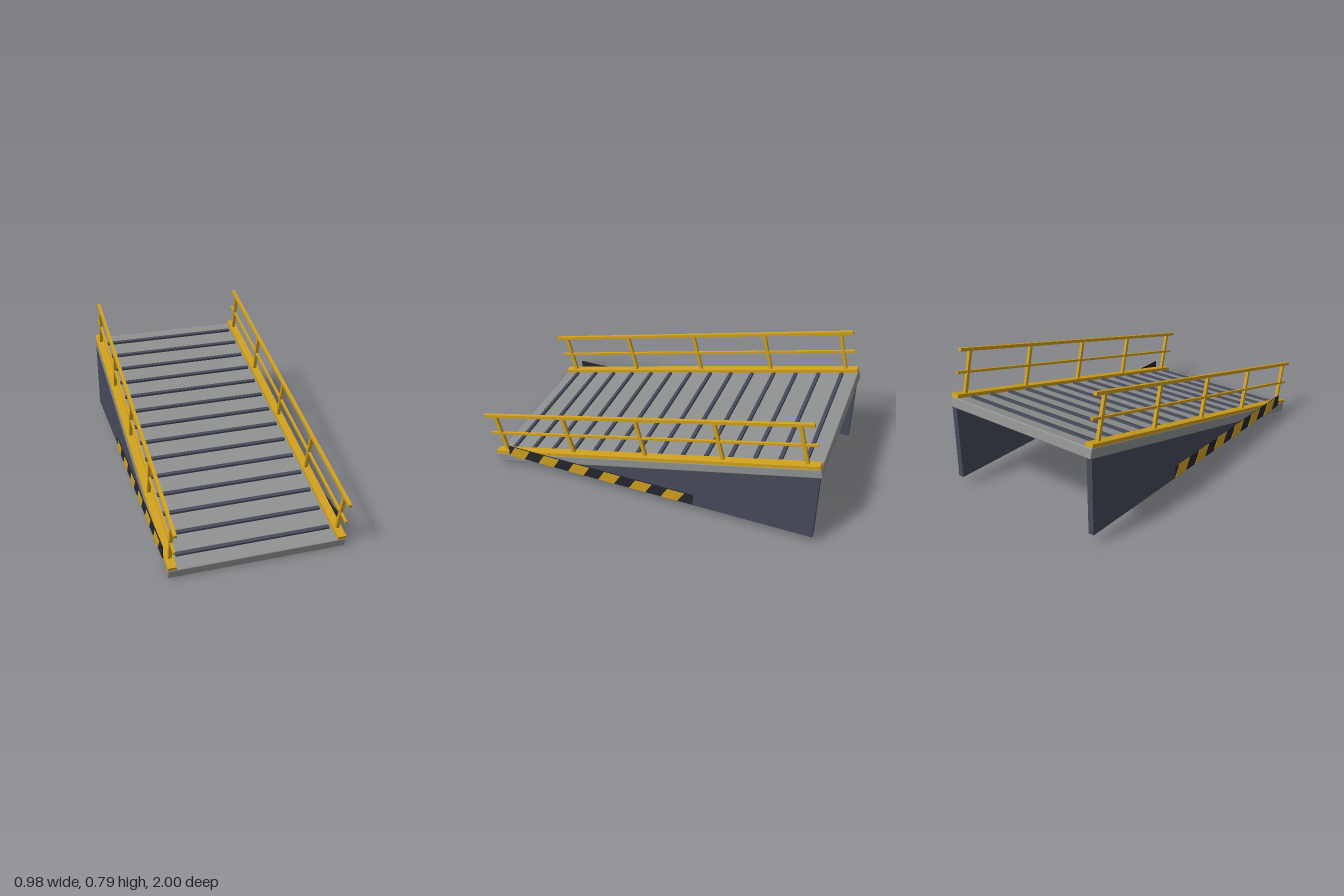
import * as THREE from 'three';
import { RoundedBoxGeometry } from 'three/addons/geometries/RoundedBoxGeometry.js';

const mat = (name, color) => {
  const m = new THREE.MeshStandardMaterial({ color });
  m.name = name;
  return m;
};

export function createModel() {
  const grey = mat('deck grey', 0x8f9090);
  const slate = mat('slate', 0x474b5a);
  const yellow = mat('safety yellow', 0xd0a01e);
  const black = mat('stripe black', 0x25252e);

  const root = new THREE.Group();
  root.name = 'ramp';

  const add = (parent, name, geometry, material, x = 0, y = 0, z = 0) => {
    const mesh = new THREE.Mesh(geometry, material);
    mesh.name = name;
    mesh.position.set(x, y, z);
    parent.add(mesh);
    return mesh;
  };
  const box = (parent, name, material, [w, h, d], [x, y, z]) =>
    add(parent, name, new THREE.BoxGeometry(w, h, d), material, x, y, z);

  // Everything on the slope is built flat, then tilted
  const slope = new THREE.Group();
  slope.name = 'slopedDeck';
  slope.position.set(0, 0.267, -0.0325);
  slope.rotation.x = Math.atan(0.25);
  root.add(slope);

  const deckTop = 0.0275;
  add(slope, 'deck', new RoundedBoxGeometry(0.96, 0.055, 1.98, 2, 0.006), grey);

  // Grip cleats across the deck
  for (let i = 0; i < 14; i++) {
    box(slope, 'cleat', slate, [0.84, 0.014, 0.02], [0, deckTop + 0.006, -0.9 + i * 0.1382]);
  }

  // Curbs and handrails
  for (const side of [-1, 1]) {
    const railing = new THREE.Group();
    railing.name = side > 0 ? 'leftRailing' : 'rightRailing';
    slope.add(railing);
    const x = side * 0.455;
    box(railing, 'curb', yellow, [0.046, 0.02, 1.975], [side * 0.4575, deckTop + 0.01, 0]);
    box(railing, 'topRail', yellow, [0.018, 0.018, 1.98], [x, 0.284, 0]);
    box(railing, 'midRail', yellow, [0.013, 0.013, 1.98], [x, 0.162, 0]);
    for (let i = -2; i <= 2; i++) {
      box(railing, 'post', yellow, [0.018, 0.236, 0.018], [x, 0.164, i * 0.459]);
    }
  }

  // Shape drawn in (-z, y), extruded outward along x
  const sideGeometry = (points, depth) => {
    const shape = new THREE.Shape(points.map(([z, y]) => new THREE.Vector2(-z, y)));
    return new THREE.ExtrudeGeometry(shape, { depth, bevelEnabled: false }).rotateY(Math.PI / 2);
  };

  // Triangular support walls
  const wall = sideGeometry([[0.7, 0.06], [-0.987, 0.06], [-0.987, 0.485]], 0.032);
  for (const x of [-0.478, 0.446]) add(root, 'sideWall', wall, slate, x);

  // Hazard strips; the second is the first turned half round
  const stripeGeometry = sideGeometry([[0, -0.034], [-0.1, -0.034], [-0.14, 0.034], [-0.04, 0.034]], 0.002);
  for (const turn of [0, Math.PI]) {
    const strip = new THREE.Group();
    strip.name = 'hazardStrip';
    strip.position.set(0, 0.105, 0.265);
    strip.rotation.y = turn;
    root.add(strip);
    box(strip, 'stripBacking', black, [0.007, 0.068, 1.154], [0.4836, 0, 0]);
    for (let i = 0; i < 6; i++) {
      add(strip, 'stripe', stripeGeometry, yellow, 0.4868, 0, 0.577 - i * 0.193);
    }
  }

  return root;
}
